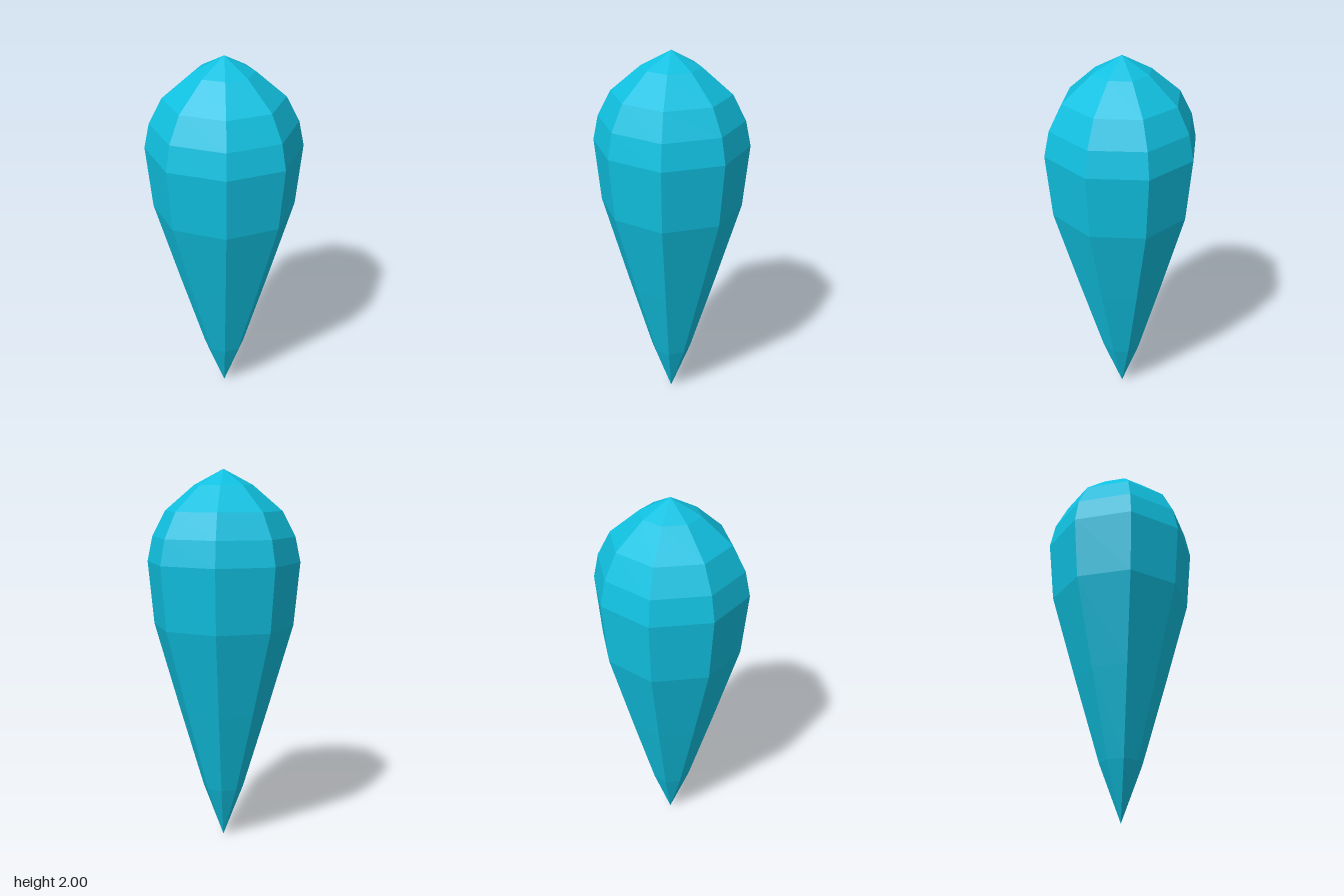
import * as THREE from 'three';

// Faceted teardrop gem: eight-sided body of revolution, pointed at both ends
export function createModel() {
  const group = new THREE.Group();
  group.name = 'crystal';

  const cyan = new THREE.MeshStandardMaterial({ color: 0x10c0e0, flatShading: true });
  cyan.name = 'cyan';

  // Profile as radius and height, from the lower tip to the crown
  const profile = [
    [0, 0], [0.11, 0.295], [0.24, 0.74], [0.37, 1.2], [0.4, 1.53],
    [0.372, 1.66], [0.304, 1.79], [0.151, 1.92], [0, 2],
  ].map(([r, y]) => new THREE.Vector2(r, y));
  const geometry = new THREE.LatheGeometry(profile, 8);

  // Flatten the front and back ridges a little and nudge the left ridge backwards
  const pos = geometry.attributes.position;
  for (let i = 0; i < pos.count; i++) {
    const x = pos.getX(i), z = pos.getZ(i);
    if (Math.abs(x) < 1e-4) pos.setZ(i, z * 0.965);
    else if (Math.abs(z) < 1e-4 && x > 0) pos.setZ(i, -0.025 * x);
  }
  geometry.computeVertexNormals();

  const body = new THREE.Mesh(geometry, cyan);
  body.name = 'gemBody';
  group.add(body);
  return group;
}
